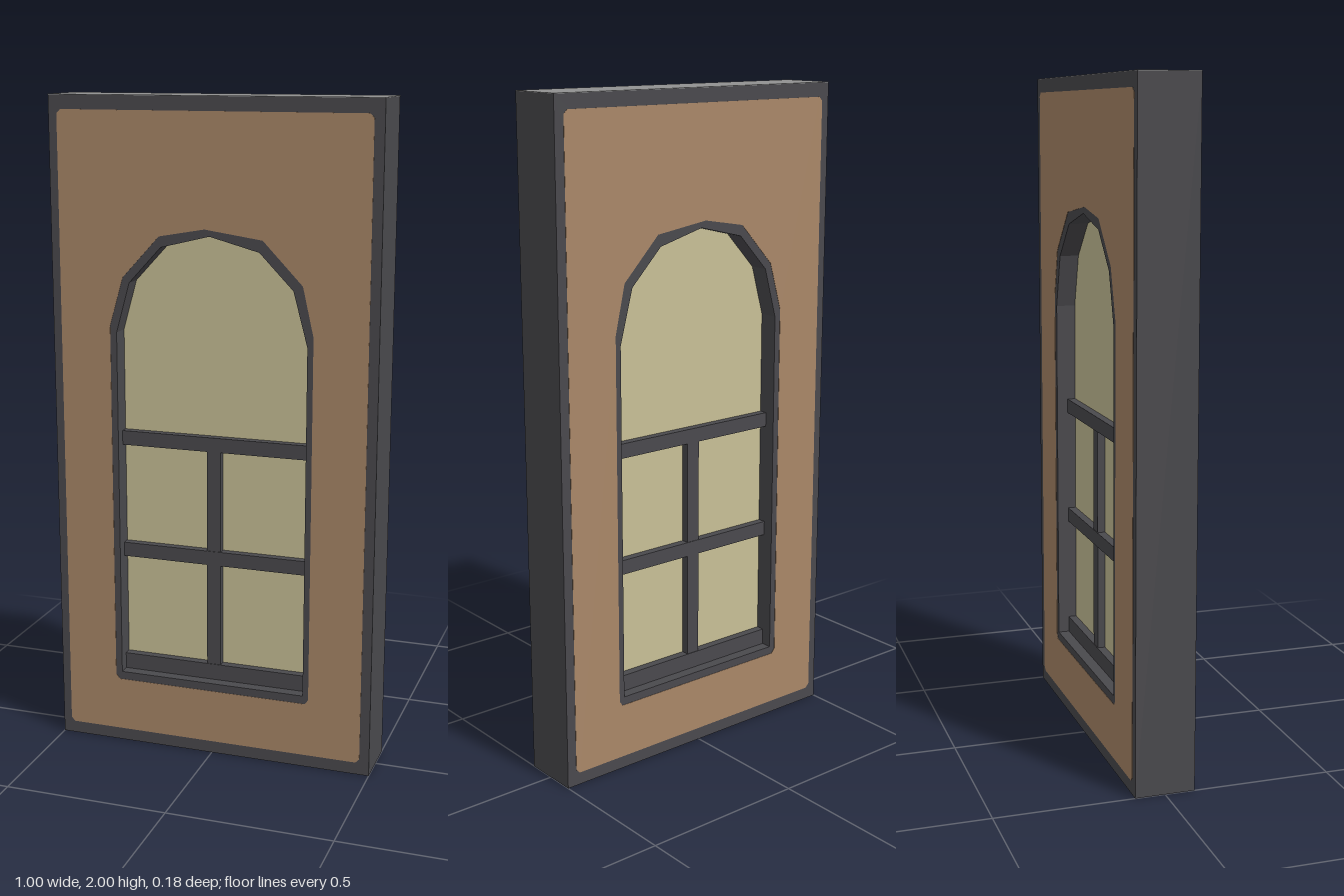
import * as THREE from 'three';

const mat = (name, color) => {
  const m = new THREE.MeshStandardMaterial({ color });
  m.name = name;
  return m;
};

export function createModel() {
  const group = new THREE.Group();
  const dark = mat('dark trim', 0x4a494d);
  const tan = mat('tan wall', 0xa98768);
  const cream = mat('cream glass', 0xc8c097);
  const grey = mat('grey top', 0x919191);

  const add = (name, geometry, material, x = 0, y = 0, z = 0) => {
    const mesh = new THREE.Mesh(geometry, material);
    mesh.name = name;
    mesh.position.set(x, y, z);
    group.add(mesh);
    return mesh;
  };
  const vecs = (pts) => pts.map(([x, y]) => new THREE.Vector2(x, y));
  // Extrusion centred on z = 0
  const slab = (shape, depth) =>
    new THREE.ExtrudeGeometry(shape, { depth, bevelEnabled: false }).translate(0, 0, -depth / 2);

  // Faceted arch outlines: the opening and the trim painted around it
  const opening = vecs([
    [-0.297, 0.23], [0.29, 0.23], [0.29, 1.3], [0.247, 1.46], [0.145, 1.565],
    [-0.005, 1.605], [-0.155, 1.568], [-0.255, 1.46], [-0.297, 1.31],
  ]);
  const trim = vecs([
    [-0.305, 0.205], [0.298, 0.205], [0.308, 0.22], [0.308, 1.33], [0.275, 1.475], [0.155, 1.6],
    [-0.02, 1.625], [-0.16, 1.6], [-0.275, 1.475], [-0.317, 1.33], [-0.317, 0.22],
  ]);

  // Wall block with the arched opening cut through
  const wall = new THREE.Shape(vecs([[-0.5, 0], [0.5, 0], [0.5, 1.998], [-0.5, 1.998]]));
  wall.holes.push(new THREE.Path(opening));
  add('wallBlock', slab(wall, 0.178), dark);
  add('topFace', new THREE.BoxGeometry(1, 0.002, 0.178), grey, 0, 1.999, 0);

  // Tan panels on both faces, with clipped corners
  const panel = new THREE.Shape(vecs([
    [-0.462, 0.038], [0.458, 0.038], [0.47, 0.05], [0.47, 1.945],
    [0.458, 1.957], [-0.462, 1.957], [-0.474, 1.945], [-0.474, 0.05],
  ]));
  panel.holes.push(new THREE.Path(trim));
  for (const side of [1, -1]) {
    add(side > 0 ? 'frontPanel' : 'backPanel', slab(panel, 0.002), tan, 0, 0, side * 0.089);
  }

  // Recessed glass and its bars
  add('glass', slab(new THREE.Shape(opening), 0.06), cream);
  const barDepth = 0.11;
  for (const [name, y, h] of [['sill', 0.255, 0.05], ['lowerBar', 0.624, 0.044], ['upperBar', 0.98, 0.044]]) {
    add(name, new THREE.BoxGeometry(0.587, h, barDepth), dark, -0.0035, y, 0);
  }
  add('uprightBar', new THREE.BoxGeometry(0.044, 0.71, barDepth - 0.004), dark, -0.005, 0.62, 0);

  return group;
}
